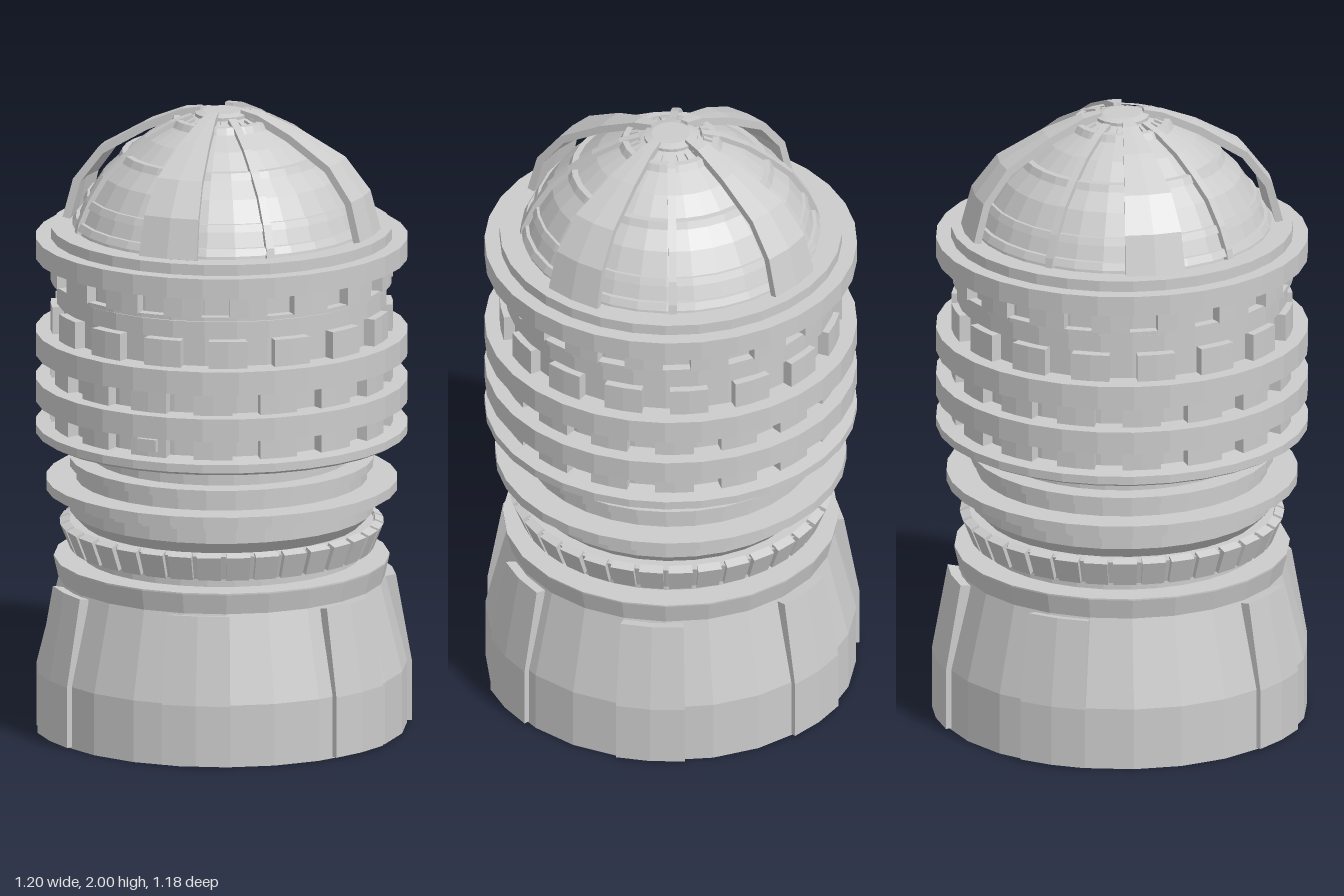
import * as THREE from 'three';

const material = new THREE.MeshStandardMaterial({ color: 0xcccccc, flatShading: true });
const rad = THREE.MathUtils.degToRad;

export function createModel() {
  const model = new THREE.Group();
  model.name = 'domedTower';

  const add = (name, geometry, parent = model) => {
    const mesh = new THREE.Mesh(geometry, material);
    mesh.name = name;
    parent.add(mesh);
    return mesh;
  };

  const group = (name) => {
    const g = new THREE.Group();
    g.name = name;
    model.add(g);
    return g;
  };

  // Turned part from [radius, height] points, listed from the bottom up the outside
  const turned = (name, points, sides = 32, parent = model) =>
    add(name, new THREE.LatheGeometry(points.map(([r, y]) => new THREE.Vector2(r, y)), sides), parent);

  // Ring with a rectangular section
  const ring = (name, inner, outer, y0, y1, parent = model) =>
    turned(name, [[inner, y0], [outer, y0], [outer, y1], [inner, y1]], 32, parent);

  // Plate following an outside path of [radius, height] points, wrapped round the axis.
  // width is in degrees, or in units for a straight-sided bar. Angle 0 faces +z, 90 faces +x.
  const plate = (name, path, depth, width, angle, parent, straight = false, segments = 2) => {
    const rows = path.length - 1;
    const geometry = new THREE.BoxGeometry(1, 1, 1, segments, rows, 1);
    const pos = geometry.attributes.position;
    for (let i = 0; i < pos.count; i++) {
      const u = pos.getX(i);
      const k = Math.round((pos.getY(i) + 0.5) * rows);
      const a = path[Math.max(k - 1, 0)];
      const b = path[Math.min(k + 1, rows)];
      const length = Math.hypot(b[0] - a[0], b[1] - a[1]);
      const inset = pos.getZ(i) < 0 ? depth : 0;
      const r = path[k][0] - (inset * (b[1] - a[1])) / length;
      const y = path[k][1] + (inset * (b[0] - a[0])) / length;
      const t = rad(straight ? angle : angle + u * width);
      const side = straight ? u * width : 0;
      pos.setXYZ(i, r * Math.sin(t) + side * Math.cos(t), y, r * Math.cos(t) - side * Math.sin(t));
    }
    geometry.computeVertexNormals();
    return add(name, geometry, parent);
  };

  // Hollow skirt with a ceiling and a flared collar
  turned('skirt', [
    [0, 0.47], [0.49, 0.47], [0.57, 0.2], [0.57, 0], [0.585, 0], [0.585, 0.2],
    [0.515, 0.48], [0.53, 0.545], [0.53, 0.55], [0.43, 0.55],
  ], 24);

  // Six armour panels on the skirt
  const panels = group('skirtPanels');
  for (const angle of [85.5, 31, -24.5, -81.5, -160.5, 143]) {
    plate('skirtPanel', [[0.6, 0.005], [0.6, 0.2], [0.55, 0.48]], 0.035, 21, angle, panels);
  }

  // Stepped neck
  turned('neck', [
    [0.44, 0.54], [0.44, 0.575], [0.465, 0.58], [0.495, 0.66], [0.44, 0.66], [0.48, 0.7],
    [0.48, 0.75], [0.53, 0.755], [0.53, 0.77], [0.555, 0.77], [0.555, 0.803], [0.46, 0.803],
    [0.46, 0.84], [0.48, 0.845], [0.48, 0.872], [0.41, 0.872], [0.41, 0.912],
  ]);

  // Slanted tiles round the neck
  const tiles = group('neckTiles');
  const tileCount = 34;
  for (let i = 0; i < tileCount; i++) {
    plate('neckTile', [[0.48, 0.58], [0.512, 0.66]], 0.03, 8.6, (i * 360) / tileCount, tiles, false, 1);
  }

  // Flared plate under the body
  turned('bodyBase', [[0.41, 0.91], [0.57, 0.945], [0.588, 0.955], [0.588, 0.982], [0.48, 0.992]]);

  // Drum and its raised rings
  turned('drum', [[0.505, 0.98], [0.505, 1.53]]);
  for (const [y0, y1] of [[1.057, 1.13], [1.207, 1.283], [1.52, 1.585]]) {
    ring('drumRing', 0.48, 0.588, y0, y1);
  }
  ring('drumBand', 0.48, 0.522, 1.375, 1.43);
  ring('drumLip', 0.48, 0.535, 1.435, 1.448);
  turned('domeSeat', [[0.54, 1.58], [0.54, 1.62], [0.47, 1.62], [0.47, 1.58]]);

  // Rows of raised blocks between the rings
  const blocks = group('drumBlocks');
  const rows = [[0.985, 1.06, 3], [1.128, 1.21, 3], [1.28, 1.37, 8], [1.445, 1.522, 15]];
  for (const [y0, y1, offset] of rows) {
    for (let i = 0; i < 16; i++) {
      plate('drumBlock', [[0.54, y0], [0.54, y1]], 0.05, 13, offset + i * 22.5, blocks);
    }
  }
  plate('smallHatch', [[0.555, 1.005], [0.555, 1.045]], 0.04, 0.065, -42, model, true, 1);

  // Dome and its cap
  const domePath = [
    [0.465, 1.59], [0.455, 1.64], [0.425, 1.71], [0.375, 1.79], [0.31, 1.85],
    [0.235, 1.91], [0.15, 1.955], [0.085, 1.975],
  ];
  turned('dome', [...domePath, [0, 1.98]]);
  turned('domeCap', [[0.085, 1.96], [0.085, 1.985], [0.06, 1.992], [0, 1.992]], 24);

  // Raised frame: hoops, upright bars and small teeth near the cap
  const frame = group('domeFrame');
  for (const [r, y] of [[0.467, 1.64], [0.432, 1.71], [0.32, 1.85], [0.158, 1.957]]) {
    turned('domeHoop', [[r - 0.01, y - 0.012], [r + 0.006, y - 0.01], [r - 0.006, y + 0.012], [r - 0.025, y + 0.013]], 32, frame);
  }
  const barPath = domePath.map(([r, y]) => [r + 0.014, y + 0.01]);
  for (const angle of [2.5, 92.5, 192, -92.5]) {
    plate('domeBar', barPath, 0.03, 0.026, angle, frame, true, 1);
  }
  for (let i = 0; i < 24; i++) {
    plate('capTooth', [[0.135, 1.967], [0.105, 1.978]], 0.015, 0.012, i * 15, frame, true, 1);
  }

  // Four wedge-shaped straps over the dome
  const straps = group('domeStraps');
  const strapPath = [[0.508, 1.625], [0.475, 1.75], [0.395, 1.855], [0.25, 1.94], [0.13, 1.99], [0.07, 2]];
  for (let i = 0; i < 4; i++) {
    plate('domeStrap', strapPath, 0.025, 22, 53.5 + i * 90, straps);
  }

  return model;
}
